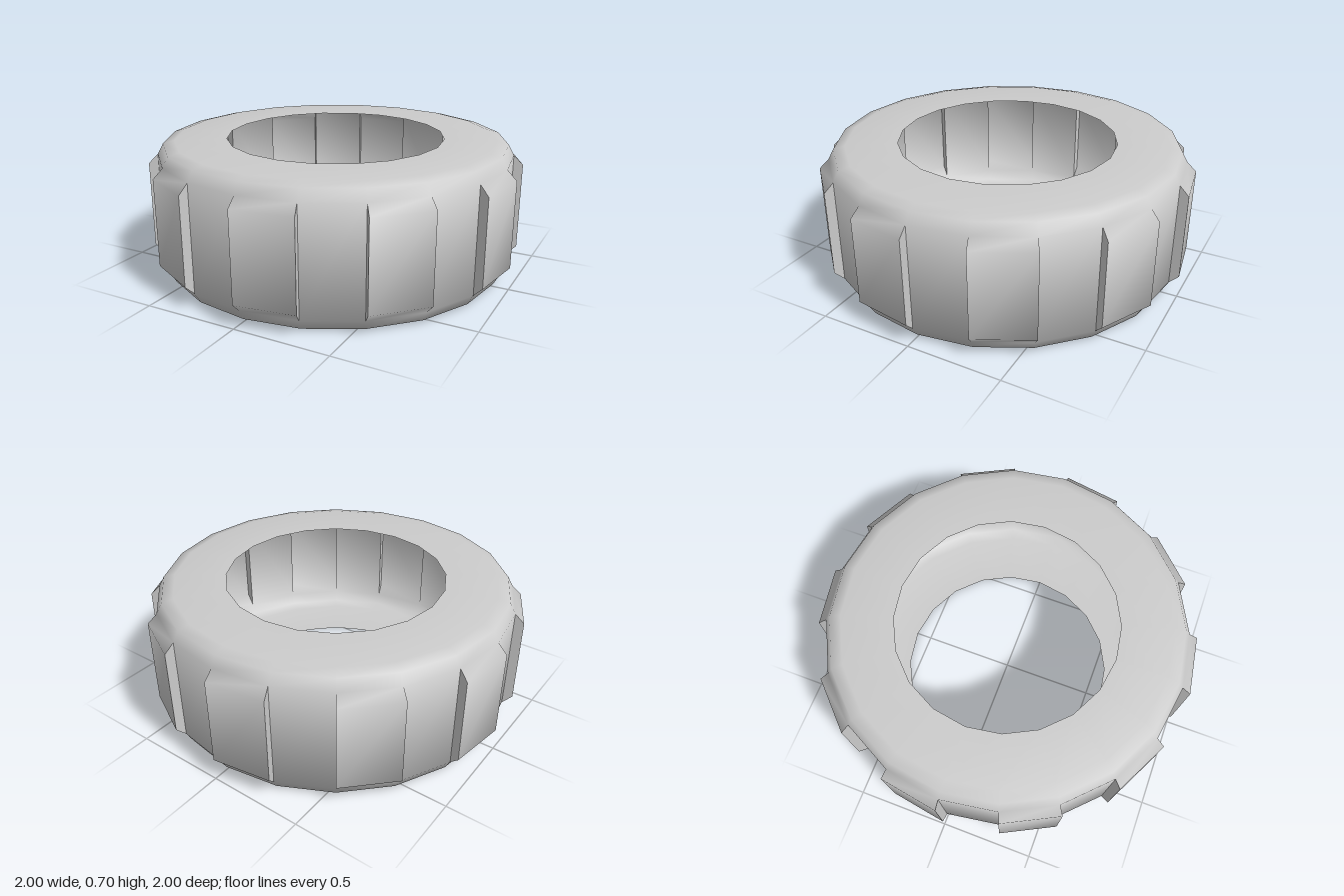
import * as THREE from 'three';
import { toCreasedNormals } from 'three/addons/utils/BufferGeometryUtils.js';

const SEGMENTS = 20;
// Cross-section as [radius, height], from lower inner rim to upper inner rim
const LOWER = [[0.585, 0], [0.86, 0], [0.92, 0.015], [0.95, 0.07]];
const LUG = [[1, 0.12], [1, 0.58]];
const UPPER = LOWER.map(([r, y]) => [r, 0.7 - y]).reverse();

function point([r, y], step) {
  const a = (step % SEGMENTS) / SEGMENTS * Math.PI * 2;
  return [r * Math.sin(a), y, r * Math.cos(a)];
}

function tyreGeometry() {
  const positions = [];
  const quad = (a, b, c, d) => positions.push(...a, ...b, ...c, ...a, ...c, ...d);

  for (let i = 0; i < SEGMENTS; i++) {
    const raised = i % 2 === 0;
    const profile = raised ? [...LOWER, ...LUG, ...UPPER] : [...LOWER, ...UPPER];
    // Strip of shell across this segment
    for (let j = 0; j < profile.length - 1; j++) {
      const p = profile[j], q = profile[j + 1];
      quad(point(p, i), point(p, i + 1), point(q, i + 1), point(q, i));
    }
    // Side walls of the raised lug
    if (raised) {
      const side = [LOWER[3], ...LUG, UPPER[0]];
      quad(...side.map((p) => point(p, i)).reverse());
      quad(...side.map((p) => point(p, i + 1)));
    }
  }

  const geometry = new THREE.BufferGeometry();
  geometry.setAttribute('position', new THREE.Float32BufferAttribute(positions, 3));
  return toCreasedNormals(geometry, 1.1);
}

export function createModel() {
  const group = new THREE.Group();
  group.name = 'tyre';
  // Hollow shell, open at the inner rim
  const material = new THREE.MeshStandardMaterial({ color: 0xcccccc, side: THREE.DoubleSide });
  const shell = new THREE.Mesh(tyreGeometry(), material);
  shell.name = 'treadedShell';
  group.add(shell);
  return group;
}
